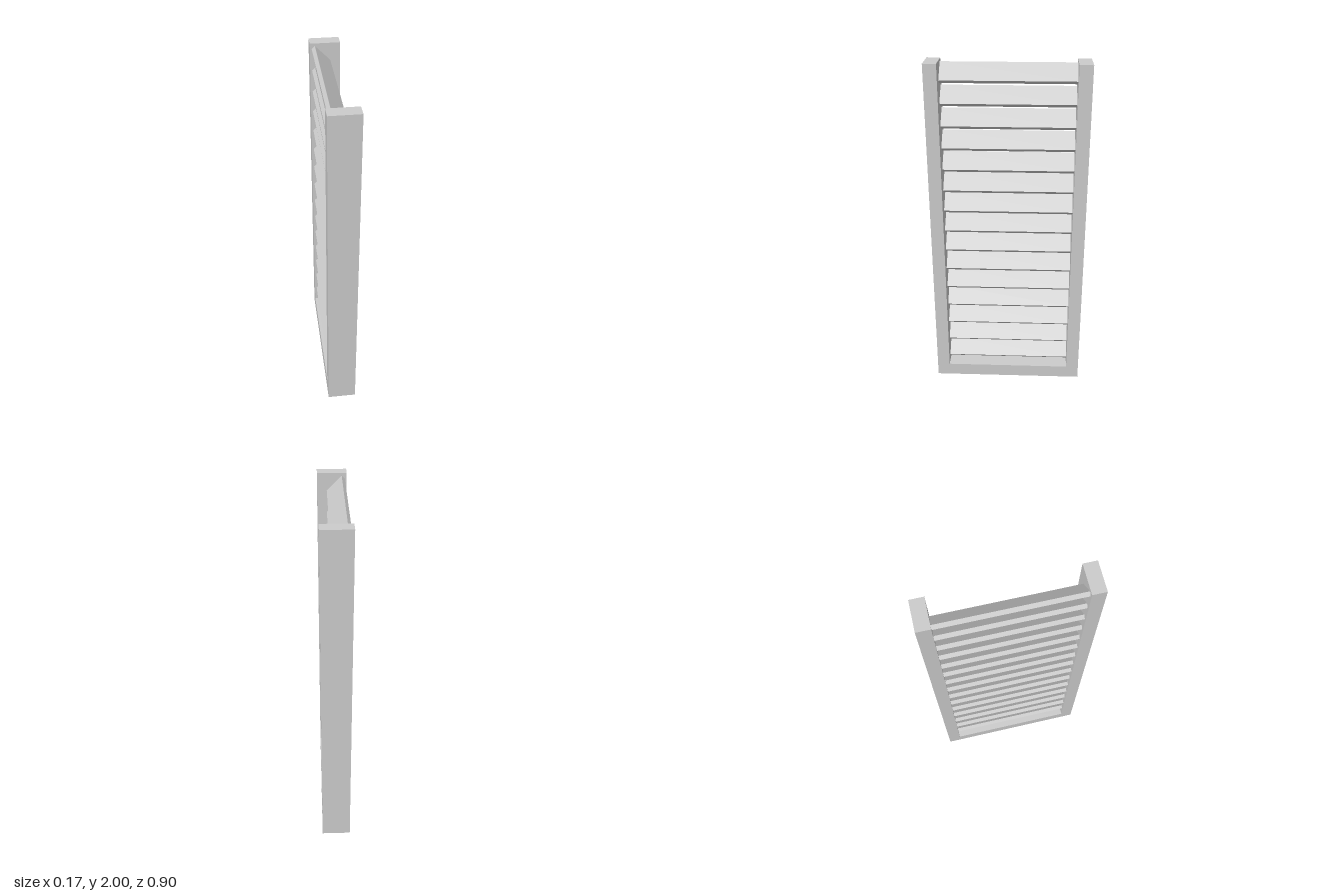
import * as THREE from 'three';

export function createModel() {
  const model = new THREE.Group();
  const material = new THREE.MeshStandardMaterial({ color: 0xcccccc, flatShading: true });

  // U-shaped frame: two posts joined by a bottom rail, open at the top
  const halfWidth = 0.45, inner = 0.375, height = 2, railTop = 0.078, depth = 0.168;
  const outline = new THREE.Shape([
    [-halfWidth, 0], [halfWidth, 0], [halfWidth, height], [inner, height],
    [inner, railTop], [-inner, railTop], [-inner, height], [-halfWidth, height],
  ].map(([x, y]) => new THREE.Vector2(x, y)));
  const frameGeometry = new THREE.ExtrudeGeometry(outline, { depth, bevelEnabled: false });
  frameGeometry.translate(0, 0, -depth / 2).rotateY(Math.PI / 2);
  const frame = new THREE.Mesh(frameGeometry, material);
  frame.name = 'frame';
  model.add(frame);

  // Louvre slats, tilted 45 degrees and evenly spaced between the posts
  const slats = new THREE.Group();
  slats.name = 'slats';
  const slatGeometry = new THREE.BoxGeometry(0.12, 0.025, inner * 2);
  const count = 15, lowest = 0.149, highest = 1.934;
  for (let i = 0; i < count; i++) {
    const slat = new THREE.Mesh(slatGeometry, material);
    slat.name = 'slat';
    slat.position.set(-0.022, THREE.MathUtils.lerp(lowest, highest, i / (count - 1)), 0);
    slat.rotation.z = -Math.PI / 4;
    slats.add(slat);
  }
  model.add(slats);

  return model;
}
